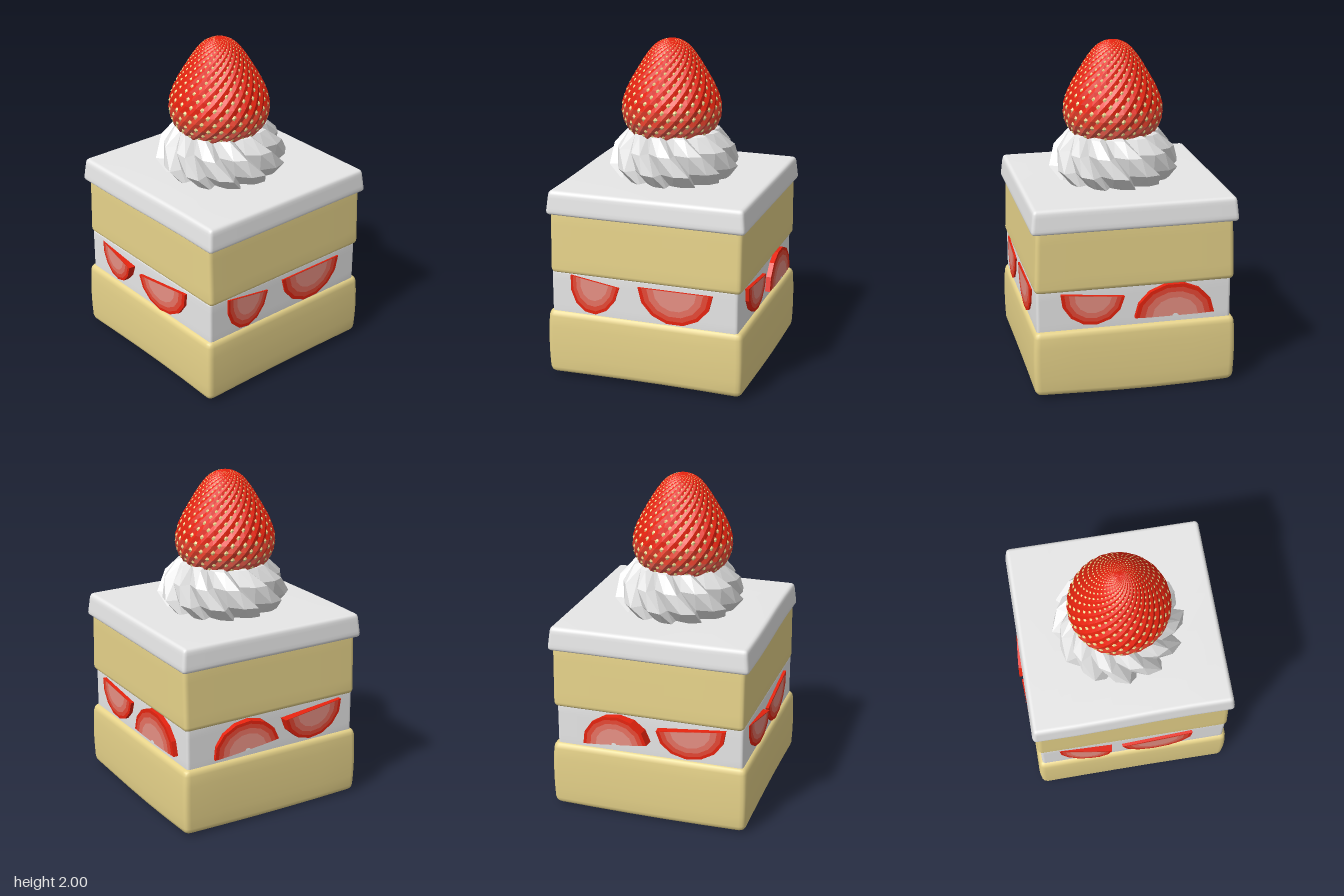
import * as THREE from 'three';
import { mergeVertices, mergeGeometries } from 'three/addons/utils/BufferGeometryUtils.js';

const material = (name, color, side = THREE.FrontSide) => {
  const m = new THREE.MeshStandardMaterial({ color, side });
  m.name = name;
  return m;
};

const mats = {
  cream: material('cream', 0xfafafa),
  sponge: material('sponge', 0xf7e294),
  red: material('strawberryRed', 0xe8240f),
  redSoft: material('strawberrySoftRed', 0xe6402c),
  redPale: material('strawberryPaleRed', 0xe65a4a),
  seed: material('seed', 0xead68c),
  fleshOuter: material('fleshOuter', 0xec4a36),
  fleshMiddle: material('fleshMiddle', 0xf27767),
  fleshInner: material('fleshInner', 0xf79a8d),
};

function add(parent, name, geometry, mat) {
  const mesh = new THREE.Mesh(geometry, mat);
  mesh.name = name;
  parent.add(mesh);
  return mesh;
}

// Soft-edged slab; bend(p) nudges each vertex for a hand-cut look
function slab(min, max, r, bend) {
  const lo = new THREE.Vector3(...min), hi = new THREE.Vector3(...max);
  const half = hi.clone().sub(lo).multiplyScalar(0.5);
  const mid = hi.clone().add(lo).multiplyScalar(0.5);
  let geo = new THREE.BoxGeometry(2, 2, 2, 9, 9, 9);
  geo.deleteAttribute('uv');
  geo.deleteAttribute('normal');
  geo = mergeVertices(geo);
  const pos = geo.attributes.position;
  const p = new THREE.Vector3(), inner = new THREE.Vector3();
  const place = (t, h) => {
    const f = h - r;
    return [-h, -h + r * 0.45, -f, -f * 0.6, -f * 0.2, f * 0.2, f * 0.6, f, h - r * 0.45, h][Math.round((t + 1) * 4.5)];
  };
  for (let i = 0; i < pos.count; i++) {
    p.set(place(pos.getX(i), half.x), place(pos.getY(i), half.y), place(pos.getZ(i), half.z));
    inner.copy(p);
    for (const k of ['x', 'y', 'z']) inner[k] = THREE.MathUtils.clamp(p[k], r - half[k], half[k] - r);
    p.sub(inner).setLength(r).add(inner);
    const v = p.y / half.y;
    p.add(mid);
    bend(p, v);
    pos.setXYZ(i, p.x, p.y, p.z);
  }
  geo.computeVertexNormals();
  return geo;
}

// Faceted skin through closed rings of [x, y, z] points, bottom to top
function loft(rings) {
  const n = rings[0].length, out = [];
  for (let i = 0; i < rings.length - 1; i++) {
    for (let j = 0; j < n; j++) {
      const k = (j + 1) % n;
      const a = rings[i][j], b = rings[i][k], c = rings[i + 1][k], d = rings[i + 1][j];
      out.push(...a, ...b, ...c, ...a, ...c, ...d);
    }
  }
  const geo = new THREE.BufferGeometry();
  geo.setAttribute('position', new THREE.Float32BufferAttribute(out, 3));
  geo.computeVertexNormals();
  return geo;
}

const polar = (r, y, a) => [r * Math.sin(a), y, r * Math.cos(a)];

// Half-disc outline hanging below its flat edge
function halfDisc(w, h, s) {
  const pts = [];
  for (let i = 0; i <= 7; i++) {
    const a = Math.PI + (i / 7) * Math.PI;
    pts.push(new THREE.Vector2(Math.cos(a) * w * 0.5 * s, Math.sin(a) * h * s));
  }
  return new THREE.Shape(pts);
}

// Cut strawberry with nested flesh rings on its face
function berrySlice(w, h, dome) {
  const g = new THREE.Group();
  g.name = 'berrySlice';
  const body = new THREE.ExtrudeGeometry(halfDisc(w, h, 1), { depth: 0.12, bevelEnabled: false });
  body.translate(0, 0, -0.12);
  add(g, 'sliceSkin', body, mats.red);
  const layers = [[0.9, mats.fleshOuter], [0.76, mats.fleshMiddle], [0.58, mats.fleshInner]];
  if (dome) layers.push([0.08, mats.cream]);
  layers.forEach(([s, m], i) => {
    add(g, 'sliceFlesh', new THREE.ShapeGeometry(halfDisc(w, h, s)), m).position.z = 0.002 * (i + 1);
  });
  return g;
}

function buildBerry() {
  const g = new THREE.Group();
  g.name = 'strawberry';
  const profile = new THREE.SplineCurve([
    [0.14, 1.38], [0.23, 1.42], [0.285, 1.49], [0.303, 1.56], [0.297, 1.63], [0.262, 1.72],
    [0.205, 1.82], [0.155, 1.9], [0.105, 1.96], [0.055, 1.99], [0.012, 2.0],
  ].map(([r, y]) => new THREE.Vector2(r, y)));
  const length = profile.getLength(), seeds = 24, cols = seeds * 2;
  const rings = [], seedGeos = [];
  // Rows tighten toward the tip; every second vertex is a seed dimple
  for (let t = 0, row = 0; t < 1; row++) {
    const p = profile.getPointAt(t), tan = profile.getTangentAt(t);
    const w = (2 * Math.PI * p.x) / seeds, ring = [];
    for (let j = 0; j < cols; j++) {
      const a = (j / cols) * Math.PI * 2, dimple = (j + row) % 2 === 0;
      const dip = dimple ? 0.12 * w : 0;
      const r = p.x - tan.y * dip, y = p.y + tan.x * dip;
      ring.push(polar(r, y, a));
      if (dimple && p.x > 0.03) {
        const side = new THREE.Vector3(Math.cos(a), 0, -Math.sin(a));
        const up = new THREE.Vector3(tan.x * Math.sin(a), tan.y, tan.x * Math.cos(a));
        const m = new THREE.Matrix4().makeBasis(side, up, side.clone().cross(up));
        m.scale(new THREE.Vector3(0.23 * w, 0.25 * w, 0.12 * w)).setPosition(...polar(r, y, a));
        seedGeos.push(new THREE.OctahedronGeometry(1).applyMatrix4(m));
      }
    }
    rings.push(ring);
    t += Math.max(0.58 * w, 0.004) / length;
  }
  rings.push(rings[0].map(() => [0, 2.0, 0]));
  // Paler bands near the base
  const at = (y) => rings.findIndex((r) => r[0][1] > y);
  const b1 = at(1.49), b2 = at(1.57);
  add(g, 'berryBase', loft(rings.slice(0, b1 + 1)), mats.redPale);
  add(g, 'berryShoulder', loft(rings.slice(b1, b2 + 1)), mats.redSoft);
  add(g, 'berryBody', loft(rings.slice(b2)), mats.red);
  add(g, 'berrySeeds', mergeGeometries(seedGeos), mats.seed);
  g.position.set(0.013, 0, 0.025);
  return g;
}

// Piped swirl: sawtooth rings twisting toward the top
function buildSwirl() {
  const blades = 12;
  const rings = [
    [1.15, 0.33, 0.8], [1.25, 0.4, 0.6], [1.36, 0.365, 0.32], [1.45, 0.28, 0.08], [1.49, 0.15, 0],
  ].map(([y, r, twist]) => {
    const ring = [];
    for (let i = 0; i < blades; i++) {
      const a = (i / blades) * Math.PI * 2 + twist;
      ring.push(polar(r * 0.82, y, a), polar(r * 0.96, y, a + 0.24), polar(r, y, a + 0.46));
    }
    return ring;
  });
  const geo = loft(rings);
  geo.translate(0.012, 0, 0.008);
  return geo;
}

export function createModel() {
  const cake = new THREE.Group();
  cake.name = 'shortcake';

  // Layers
  add(cake, 'bottomSponge', slab([-0.6, 0.013, -0.615], [0.625, 0.425, 0.61], 0.04, (p, v) => {
    if (v < 0) p.y += 0.012 * Math.sin(p.x * 3 + p.z * 2);
    const pinch = 1 - 0.012 * v * v;
    p.x *= pinch;
    p.z *= pinch;
  }), mats.sponge);
  add(cake, 'creamFilling', slab([-0.57, 0.4, -0.58], [0.6, 0.68, 0.58], 0.02, () => {}), mats.cream);
  add(cake, 'topSponge', slab([-0.58, 0.66, -0.6], [0.605, 1.06, 0.585], 0.03, (p, v) => {
    p.x *= 1 - 0.012 * v;
  }), mats.sponge);
  add(cake, 'icing', slab([-0.605, 1.025, -0.622], [0.63, 1.172, 0.615], 0.025, (p, v) => {
    p.x *= 1 - 0.013 * (v + 1);
    p.z *= 1 - 0.013 * (v + 1);
    p.y += 0.004 * Math.sin(p.z * 5) * Math.cos(p.x * 3);
    if (p.z > 0.5) p.z -= 0.012 * (1 + Math.sin(p.x * 4)) * 0.6;
  }), mats.cream);

  // Slices per side: across, y of flat edge, width, height, roll, outward, yaw
  const sides = [
    ['front', 0, [[-0.29, 0.625, 0.33, 0.17, -0.11, 0.602, -0.12], [0.165, 0.618, 0.45, 0.185, 0.15, 0.598, 0]]],
    ['right', Math.PI / 2, [[-0.3, 0.637, 0.31, 0.21, -0.15, 0.61, 0], [0.2, 0.635, 0.46, 0.21, 0, 0.61, 0]]],
    ['back', Math.PI, [[-0.27, 0.63, 0.38, 0.18, -0.1, 0.602, 0], [0.22, 0.47, 0.48, 0.2, Math.PI, 0.61, 0]]],
    ['left', -Math.PI / 2, [[-0.2, 0.48, 0.42, 0.18, Math.PI + 0.15, 0.613, -0.1], [0.27, 0.63, 0.42, 0.18, 0.1, 0.608, 0.06]]],
  ];
  for (const [name, turn, list] of sides) {
    const side = new THREE.Group();
    side.name = name + 'Slices';
    side.rotation.y = turn;
    for (const [u, y, w, h, roll, out, yaw] of list) {
      const s = berrySlice(w, h, roll > 2);
      s.position.set(u, y, out);
      s.rotation.set(0, yaw, roll);
      side.add(s);
    }
    cake.add(side);
  }

  // Topping
  add(cake, 'creamSwirl', buildSwirl(), mats.cream);
  cake.add(buildBerry());
  return cake;
}
